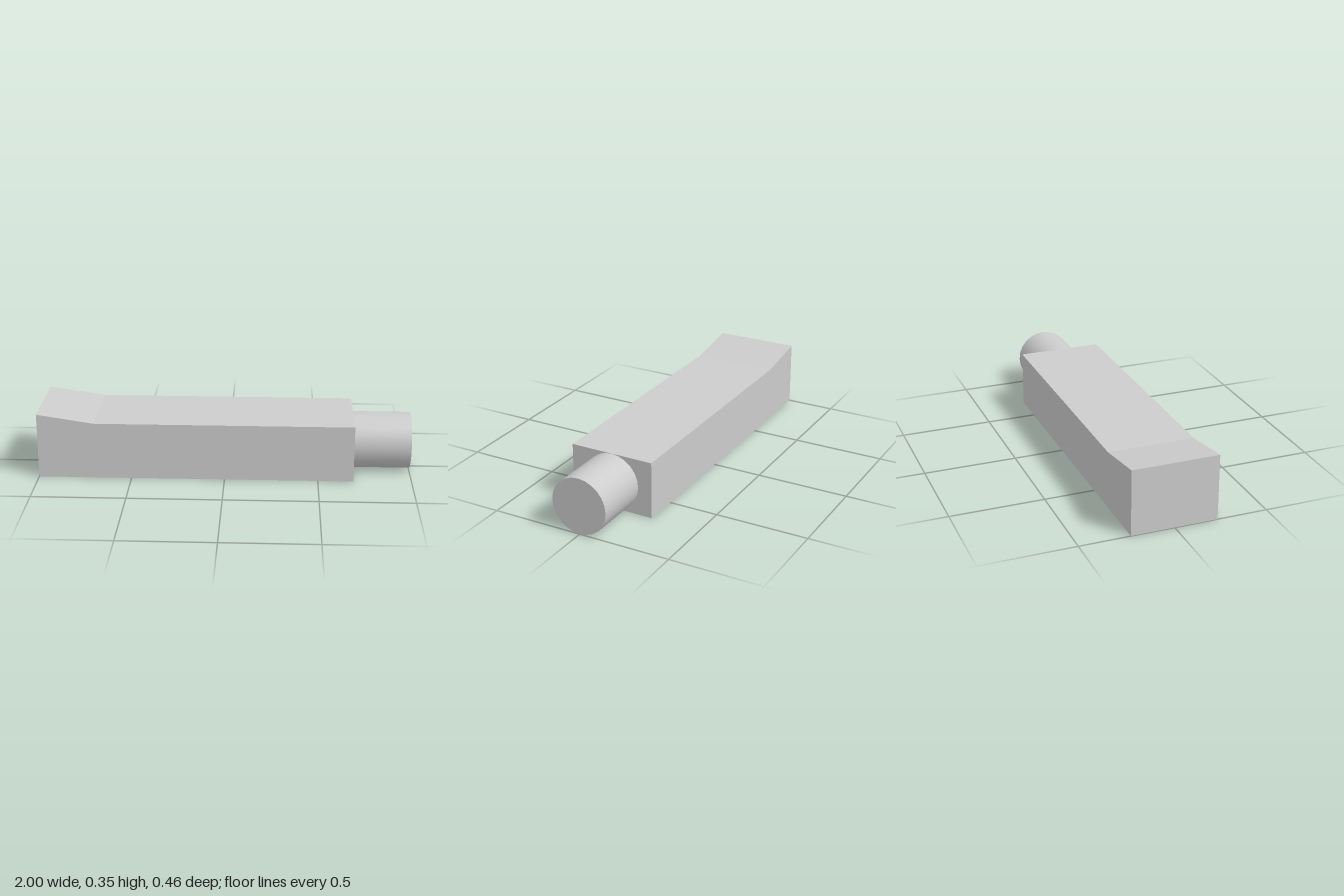
import * as THREE from 'three';

export function createModel() {
  const group = new THREE.Group();
  const grey = new THREE.MeshStandardMaterial({ color: 0xcccccc });
  grey.name = 'light grey';

  const width = 0.461, height = 0.308, shoulder = 0.69, radius = 0.1535;

  // Bar with a raised wedge at its far end, extruded across z
  const profile = new THREE.Shape([
    [-1, 0], [shoulder, 0], [shoulder, height], [-0.695, height], [-1, 0.354],
  ].map(([x, y]) => new THREE.Vector2(x, y)));
  const barGeometry = new THREE.ExtrudeGeometry(profile, { depth: width, bevelEnabled: false });
  barGeometry.translate(0, 0, -width / 2);
  const bar = new THREE.Mesh(barGeometry, grey);
  bar.name = 'bar';
  group.add(bar);

  // Round peg on the left end
  const length = 1 - shoulder;
  const pegGeometry = new THREE.CylinderGeometry(radius, radius, length, 24);
  pegGeometry.rotateZ(-Math.PI / 2);
  const peg = new THREE.Mesh(pegGeometry, grey);
  peg.name = 'peg';
  peg.position.set(shoulder + length / 2, height / 2, 0);
  group.add(peg);

  return group;
}
